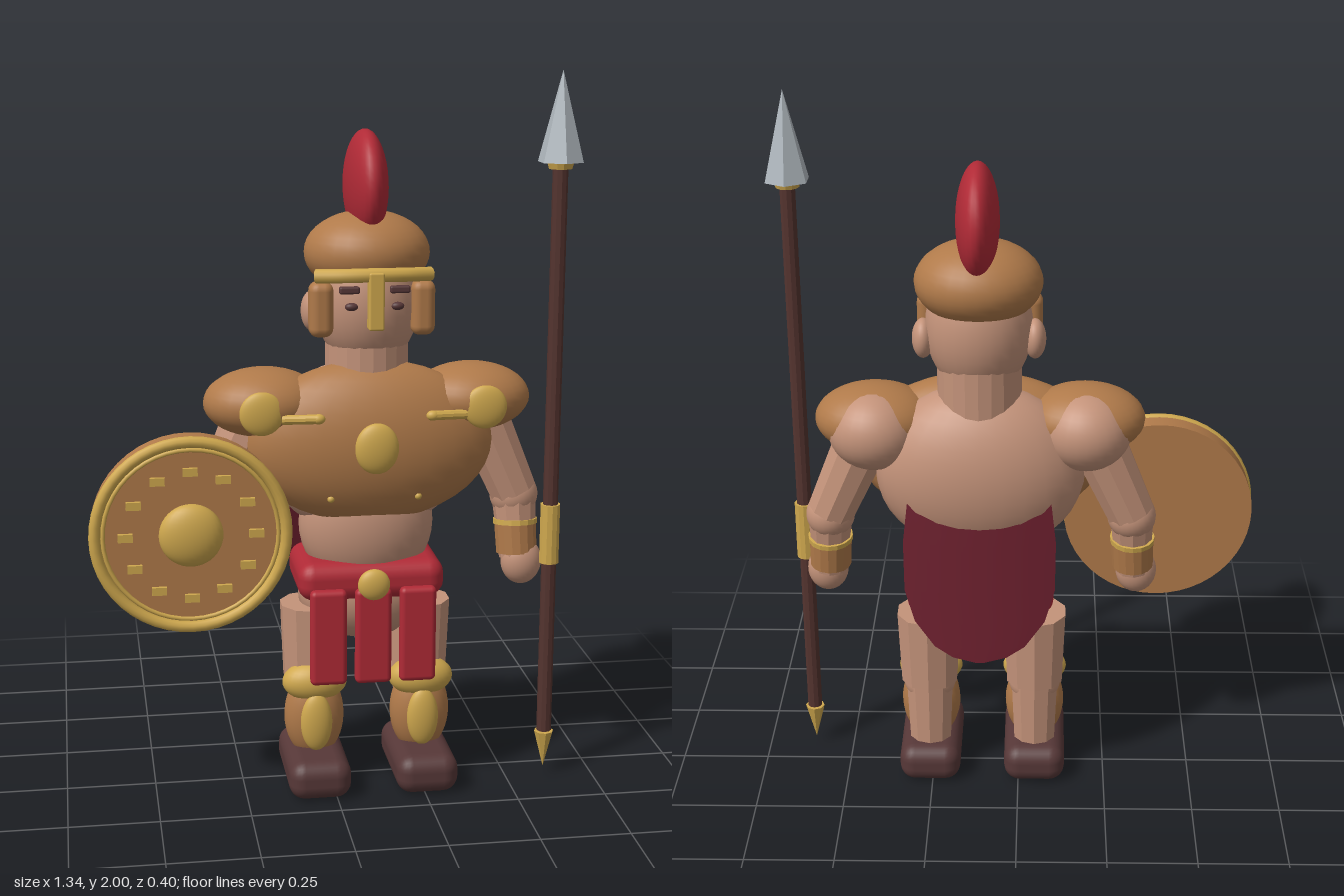
import * as THREE from 'three';
import { RoundedBoxGeometry } from 'three/addons/geometries/RoundedBoxGeometry.js';

const mat = (name, color) => {
  const m = new THREE.MeshStandardMaterial({ color });
  m.name = name;
  return m;
};

export function createModel() {
  const skin = mat('skin', 0xc4937a);
  const bronze = mat('bronze', 0xb07a4a);
  const gold = mat('gold', 0xcfa84e);
  const red = mat('red cloth', 0xb02a36);
  const wine = mat('cape wine', 0x6b1f2d);
  wine.side = THREE.DoubleSide;
  const leather = mat('dark leather', 0x573838);
  const wood = mat('spear wood', 0x54342f);
  const steel = mat('steel', 0xb0b8be);

  const model = new THREE.Group();
  model.name = 'warrior';
  const body = new THREE.Group();
  body.name = 'body';
  body.position.x = 0.105;
  model.add(body);

  const V = (x, y, z) => new THREE.Vector3(x, y, z);
  const add = (parent, name, geo, material, x = 0, y = 0, z = 0) => {
    const m = new THREE.Mesh(geo, material);
    m.name = name;
    m.position.set(x, y, z);
    parent.add(m);
    return m;
  };
  const flat = (geo) => {
    const g = geo.toNonIndexed();
    g.computeVertexNormals();
    return g;
  };
  const ball = (parent, name, material, x, y, z, rx, ry, rz) => {
    const m = add(parent, name, new THREE.SphereGeometry(1, 28, 20), material, x, y, z);
    m.scale.set(rx, ry, rz);
    return m;
  };
  const block = (parent, name, material, x, y, z, w, h, d, r) =>
    add(parent, name, new RoundedBoxGeometry(w, h, d, 3, r), material, x, y, z);
  // Faceted tapered cylinder from point a to point b
  const limb = (parent, name, material, a, b, ra, rb, sides = 10) => {
    const dir = b.clone().sub(a);
    const geo = flat(new THREE.CylinderGeometry(rb, ra, dir.length(), sides));
    const m = add(parent, name, geo, material);
    m.position.copy(a).add(b).multiplyScalar(0.5);
    m.quaternion.setFromUnitVectors(V(0, 1, 0), dir.normalize());
    return m;
  };

  // Torso
  ball(body, 'ribcage', skin, 0, 0.97, -0.02, 0.29, 0.25, 0.16);
  ball(body, 'abdomen', skin, 0, 0.76, -0.01, 0.19, 0.2, 0.13);
  ball(body, 'pelvis', skin, 0, 0.55, -0.03, 0.19, 0.14, 0.128);
  ball(body, 'breastplate', bronze, 0, 1.0, 0.045, 0.345, 0.227, 0.135);
  ball(body, 'chestEmblem', gold, 0, 1.01, 0.175, 0.06, 0.07, 0.025);

  // Belt, buckle and skirt strips
  block(body, 'belt', red, 0, 0.615, -0.01, 0.41, 0.11, 0.27, 0.045);
  for (const x of [-0.125, 0, 0.125]) {
    block(body, 'skirtStrip', red, x, 0.465, 0.13, 0.102, 0.275, 0.036, 0.015);
  }
  ball(body, 'buckle', gold, 0, 0.615, 0.14, 0.045, 0.045, 0.022);

  // Head and face
  limb(body, 'neck', skin, V(0, 1.14, -0.01), V(0, 1.3, -0.01), 0.115, 0.115, 20);
  ball(body, 'head', skin, 0, 1.385, -0.005, 0.145, 0.19, 0.138);
  ball(body, 'helmet', bronze, 0, 1.515, -0.015, 0.172, 0.113, 0.155);
  ball(body, 'plume', red, 0, 1.69, -0.043, 0.058, 0.152, 0.16);
  const browCurve = new THREE.CatmullRomCurve3([
    V(-0.155, 1.468, 0.1), V(-0.08, 1.472, 0.132), V(0, 1.474, 0.142),
    V(0.08, 1.472, 0.132), V(0.155, 1.468, 0.1),
  ]);
  add(body, 'browBand', new THREE.TubeGeometry(browCurve, 24, 0.019, 10), gold);
  block(body, 'noseGuard', gold, 0, 1.405, 0.142, 0.042, 0.155, 0.042, 0.006);

  // Cape: curved sheet, each row is [y, half width, z]
  const rows = [[1.0, 0.17, -0.14], [0.93, 0.195, -0.15], [0.8, 0.21, -0.165], [0.66, 0.208, -0.18],
    [0.57, 0.18, -0.19], [0.5, 0.125, -0.198], [0.47, 0.075, -0.201], [0.455, 0.01, -0.203]];
  const cols = 8;
  const pos = [], idx = [];
  rows.forEach(([y, w, z], r) => {
    for (let c = 0; c <= cols; c++) {
      const u = (c / cols) * 2 - 1;
      pos.push(u * w, y, z + 0.025 * (u * w / 0.21) ** 2);
      if (r && c) {
        const k = r * (cols + 1) + c, up = k - cols - 1;
        idx.push(up - 1, up, k - 1, up, k, k - 1);
      }
    }
  });
  const capeGeo = new THREE.BufferGeometry();
  capeGeo.setAttribute('position', new THREE.Float32BufferAttribute(pos, 3));
  capeGeo.setIndex(idx);
  capeGeo.computeVertexNormals();
  add(body, 'cape', capeGeo, wine);

  // Mirrored parts
  for (const s of [-1, 1]) {
    const side = s > 0 ? 'left' : 'right';
    const p = new THREE.Group();
    p.name = side + 'Side';
    body.add(p);

    // Face details
    ball(p, 'ear', skin, s * 0.15, 1.355, -0.02, 0.03, 0.055, 0.045);
    ball(p, 'eye', leather, s * 0.062, 1.387, 0.121, 0.018, 0.011, 0.012);
    block(p, 'eyebrow', leather, s * 0.068, 1.432, 0.122, 0.055, 0.02, 0.02, 0.006);
    block(p, 'cheekGuard', bronze, s * 0.138, 1.375, 0.075, 0.066, 0.15, 0.065, 0.025);

    // Shoulder armour and strap
    ball(p, 'shoulder', skin, s * 0.29, 1.09, -0.03, 0.125, 0.11, 0.115);
    ball(p, 'pauldron', bronze, s * 0.288, 1.112, 0.01, 0.165, 0.095, 0.135);
    ball(p, 'pauldronDisc', gold, s * 0.305, 1.105, 0.13, 0.06, 0.06, 0.02);
    limb(p, 'strap', gold, V(s * 0.25, 1.088, 0.135), V(s * 0.16, 1.092, 0.155), 0.013, 0.013);
    ball(p, 'strapEnd', gold, s * 0.155, 1.092, 0.155, 0.018, 0.014, 0.014);
    ball(p, 'rivet', gold, s * 0.12, 0.865, 0.141, 0.01, 0.01, 0.01);

    // Arm
    limb(p, 'upperArm', skin, V(s * 0.31, 1.08, -0.01), V(s * 0.42, 0.83, -0.005), 0.08, 0.068);
    ball(p, 'elbow', skin, s * 0.422, 0.82, -0.005, 0.068, 0.068, 0.066);
    limb(p, 'forearm', skin, V(s * 0.422, 0.83, -0.005), V(s * 0.43, 0.64, 0.02), 0.064, 0.05);
    limb(p, 'bracer', bronze, V(s * 0.426, 0.745, 0.005), V(s * 0.43, 0.655, 0.015), 0.06, 0.058, 16);
    limb(p, 'bracerBand', gold, V(s * 0.426, 0.75, 0.004), V(s * 0.426, 0.736, 0.006), 0.063, 0.063, 16);
    ball(p, 'hand', skin, s * 0.44, 0.632, 0.028, 0.058, 0.068, 0.048);

    // Leg
    const lx = s * 0.152;
    limb(p, 'thigh', skin, V(lx, 0.3, -0.02), V(lx, 0.52, -0.02), 0.083, 0.092);
    ball(p, 'knee', skin, lx, 0.295, -0.022, 0.075, 0.07, 0.07);
    limb(p, 'calf', skin, V(lx, 0.08, -0.03), V(lx, 0.3, -0.028), 0.06, 0.069);
    ball(p, 'greave', bronze, lx, 0.2, 0.025, 0.085, 0.13, 0.065);
    ball(p, 'kneeGuard', gold, lx, 0.305, 0.04, 0.092, 0.058, 0.055);
    ball(p, 'shinPlate', gold, lx, 0.195, 0.08, 0.045, 0.085, 0.025);
    block(p, 'boot', leather, lx, 0.057, 0.031, 0.176, 0.112, 0.332, 0.045);
  }

  // Shield
  const shield = new THREE.Group();
  shield.name = 'shield';
  shield.position.set(-0.396, 0.785, 0);
  model.add(shield);
  const disc = add(shield, 'shieldDisc', new THREE.CylinderGeometry(0.268, 0.268, 0.065, 48), bronze, 0, 0, 0.125);
  disc.rotation.x = Math.PI / 2;
  add(shield, 'shieldRim', new THREE.TorusGeometry(0.258, 0.016, 10, 48), gold, 0, 0, 0.16);
  add(shield, 'shieldInnerRim', new THREE.TorusGeometry(0.236, 0.006, 8, 48), gold, 0, 0, 0.159);
  ball(shield, 'shieldBoss', gold, 0, 0, 0.16, 0.087, 0.087, 0.04);
  for (let i = 0; i < 12; i++) {
    const a = (i * Math.PI) / 6;
    add(shield, 'shieldStud', new THREE.BoxGeometry(0.04, 0.022, 0.016), gold,
      Math.cos(a) * 0.176, Math.sin(a) * 0.176, 0.161);
  }

  // Spear
  const spear = new THREE.Group();
  spear.name = 'spear';
  spear.position.set(0.612, 0, 0.083);
  model.add(spear);
  limb(spear, 'shaft', wood, V(0, 0.135, 0), V(0, 1.75, 0), 0.021, 0.021, 10);
  limb(spear, 'grip', gold, V(0, 0.64, 0), V(0, 0.81, 0), 0.028, 0.028, 12);
  limb(spear, 'collar', gold, V(0, 1.74, 0), V(0, 1.762, 0), 0.032, 0.038, 12);
  add(spear, 'spearHead', flat(new THREE.ConeGeometry(0.063, 0.242, 6)), steel, 0, 1.879, 0);
  const butt = add(spear, 'spearButt', flat(new THREE.ConeGeometry(0.028, 0.11, 8)), gold, 0, 0.077, 0);
  butt.rotation.x = Math.PI;

  return model;
}
